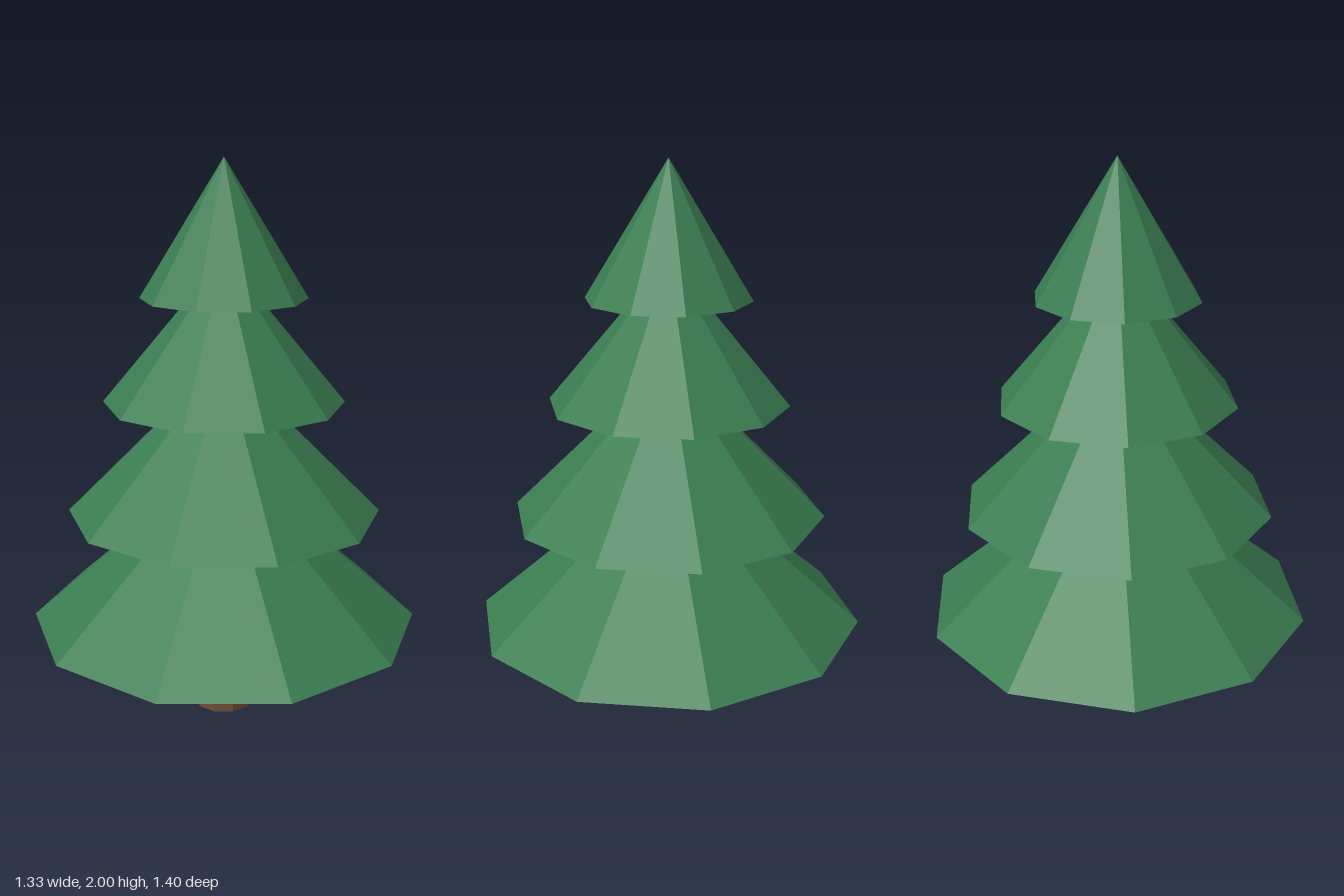
import * as THREE from 'three';

const SIDES = 10;

export function createModel() {
  const tree = new THREE.Group();
  tree.name = 'pineTree';

  const foliage = new THREE.MeshStandardMaterial({ color: 0x3a7d50, flatShading: true });
  foliage.name = 'foliageGreen';
  const bark = new THREE.MeshStandardMaterial({ color: 0x704e38, flatShading: true, side: THREE.DoubleSide });
  bark.name = 'barkBrown';

  // Trunk: open-ended faceted tube reaching the lowest tier
  const trunkHeight = 0.35;
  const trunk = new THREE.Mesh(
    new THREE.CylinderGeometry(0.11, 0.11, trunkHeight, SIDES, 1, true), bark);
  trunk.name = 'trunk';
  trunk.position.y = trunkHeight / 2;
  tree.add(trunk);

  // Foliage tiers, bottom to top: base height, radius, cone height
  const tiers = [
    [0.35, 0.70, 0.61],
    [0.76, 0.56, 0.56],
    [1.165, 0.425, 0.51],
    [1.53, 0.29, 0.47],
  ];
  tiers.forEach(([base, radius, height], i) => {
    const tier = new THREE.Mesh(new THREE.ConeGeometry(radius, height, SIDES), foliage);
    tier.name = `foliageTier${i + 1}`;
    tier.position.y = base + height / 2;
    tree.add(tier);
  });

  return tree;
}
